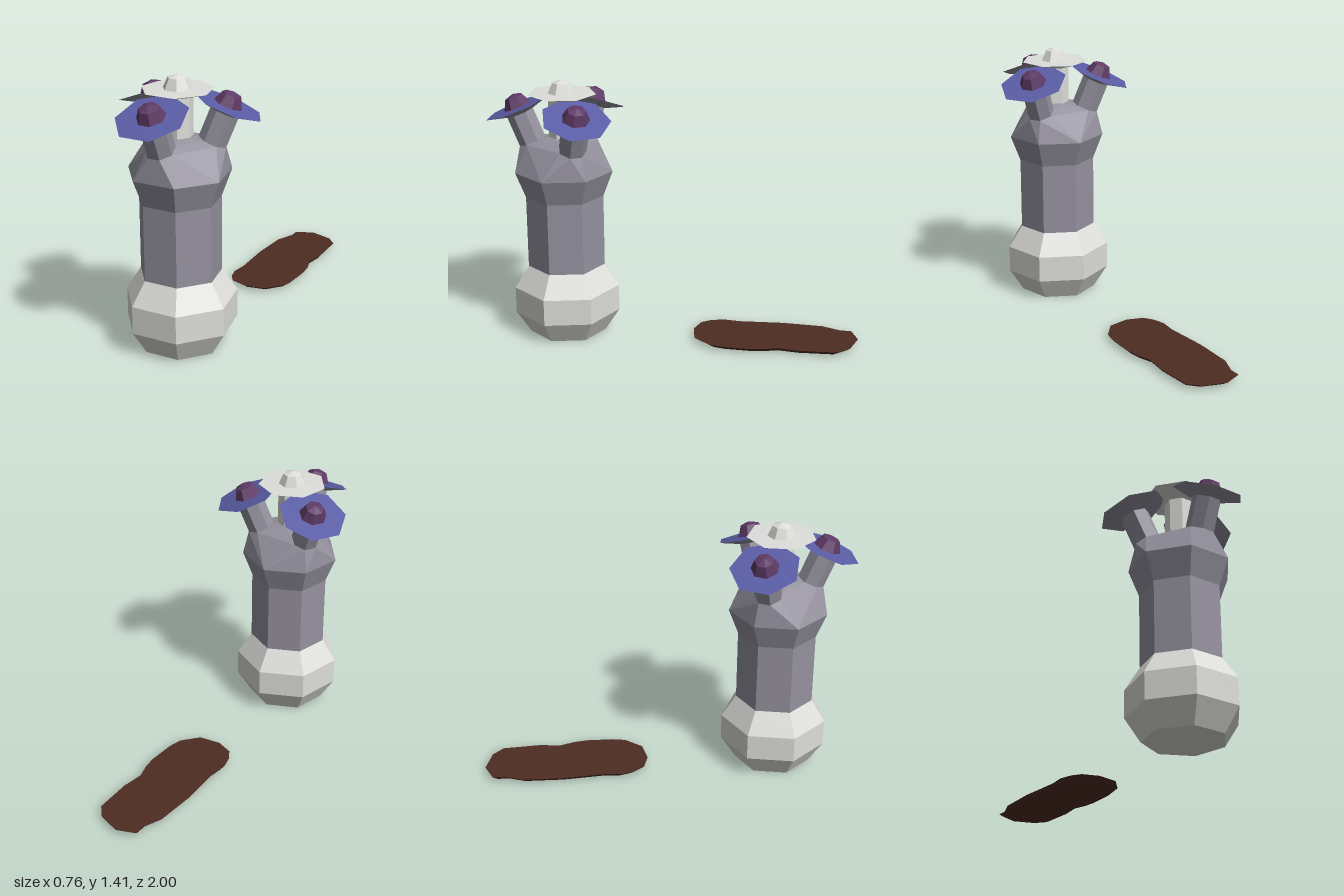
import * as THREE from 'three';
import { ConvexGeometry } from 'three/addons/geometries/ConvexGeometry.js';

const SIDES = 7;
const STEM_R = 0.075;
const STEM_LENGTH = 0.2;

function material(name, color) {
  const m = new THREE.MeshStandardMaterial({ color });
  m.name = name;
  return m;
}

function faceted(geometry) {
  const g = geometry.index ? geometry.toNonIndexed() : geometry;
  g.computeVertexNormals();
  return g;
}

// Seven-sided turned shape with a flat side to the front; profile runs [radius, y]
function turned(name, profile, mat) {
  const points = profile.map(([r, y]) => new THREE.Vector2(r, y));
  const mesh = new THREE.Mesh(faceted(new THREE.LatheGeometry(points, SIDES, Math.PI / SIDES)), mat);
  mesh.name = name;
  return mesh;
}

function ring(r, y) {
  return Array.from({ length: SIDES }, (_, i) => {
    const a = ((2 * i + 1) * Math.PI) / SIDES;
    return new THREE.Vector3(r * Math.sin(a), y, r * Math.cos(a));
  });
}

// Stem flaring into a flat bloom with a faceted bud; origin at the bloom centre
function flower(name, length, stemMat, petalMat, budMat) {
  const g = new THREE.Group();
  g.name = name;
  g.add(
    turned('stem', [[STEM_R, -length], [STEM_R, -0.035], [0.184, -0.002]], stemMat),
    turned('petals', [[0.184, -0.002], [0, 0.002]], petalMat),
    turned('bud', [[0.075, 0], [0.05, 0.055], [0, 0.07]], budMat)
  );
  return g;
}

export function createModel() {
  const grey = material('stone grey', 0x95929f);
  const white = material('off white', 0xdededb);
  const blue = material('petal blue', 0x5a5da5);
  const purple = material('bud purple', 0x5e3a66);
  const brown = material('earth brown', 0x4e2c23);

  const model = new THREE.Group();
  const plant = new THREE.Group();
  plant.name = 'plant';
  plant.position.z = 0.604;
  model.add(plant);

  // Bulbous base and trunk
  plant.add(
    turned('base', [[0, 0], [0.212, 0], [0.29, 0.125], [0.29, 0.27], [0.212, 0.39]], white),
    turned('trunk', [[0.212, 0.39], [0.212, 0.785], [0.265, 0.925]], grey)
  );

  // Central flower
  const centre = flower('centreFlower', 0.25, white, white, white);
  centre.position.y = 1.345;
  plant.add(centre);

  // Three leaning flowers; their stem feet shape the crown
  const crownPoints = [...ring(0.265, 0.925), ...ring(STEM_R, 1.11)];
  for (let i = 0; i < 3; i++) {
    const arm = new THREE.Group();
    arm.name = 'flowerArm';
    arm.rotation.y = (i * 2 * Math.PI) / 3;
    const bloom = flower('leaningFlower', STEM_LENGTH, grey, blue, purple);
    bloom.position.set(0, 1.262, 0.242);
    bloom.rotation.x = 0.385;
    arm.add(bloom);
    plant.add(arm);
    arm.updateMatrix();
    bloom.updateMatrix();
    const m = arm.matrix.clone().multiply(bloom.matrix);
    crownPoints.push(...ring(STEM_R, -STEM_LENGTH).map((p) => p.applyMatrix4(m)));
  }
  const crown = new THREE.Mesh(faceted(new ConvexGeometry(crownPoints)), grey);
  crown.name = 'crown';
  plant.add(crown);

  // Thin patch lying behind the plant, outlined in [x, z], tapering underneath
  const outline = [
    [-0.015, -1], [0.11, -0.96], [0.165, -0.9], [0.175, -0.7], [0.16, -0.58],
    [0.185, -0.5], [0.195, -0.43], [0.19, -0.28], [0.175, -0.21], [0.1, -0.12],
    [-0.015, -0.1], [-0.105, -0.13], [-0.14, -0.18], [-0.16, -0.25], [-0.15, -0.34],
    [-0.165, -0.58], [-0.155, -0.8], [-0.115, -0.9], [-0.115, -0.96]
  ];
  const shape = new THREE.Shape(outline.map(([x, z]) => new THREE.Vector2(x, -z)));
  const slab = new THREE.ExtrudeGeometry(shape, { depth: 0.02, bevelEnabled: false });
  slab.rotateX(-Math.PI / 2).translate(0, 0.008, 0);
  const p = slab.attributes.position;
  for (let i = 0; i < p.count; i++) {
    if (p.getY(i) < 0.015) {
      p.setX(i, p.getX(i) * 0.9);
      p.setZ(i, -0.55 + (p.getZ(i) + 0.55) * 0.93);
    }
  }
  const patch = new THREE.Mesh(faceted(slab), brown);
  patch.name = 'groundPatch';
  model.add(patch);

  return model;
}
